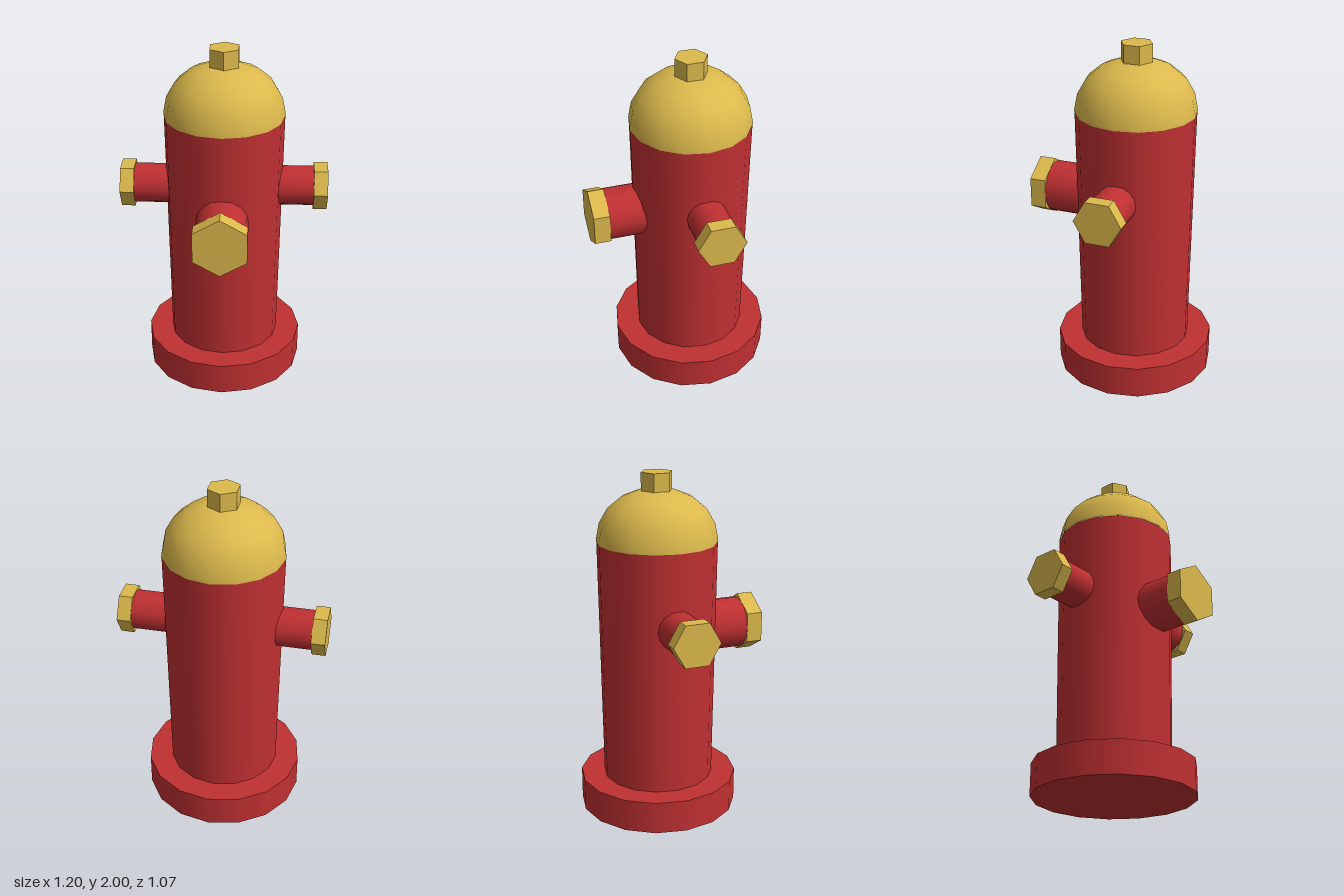
import * as THREE from 'three';

const AXIS_Z = -0.07; // the barrel stands slightly behind the centre

export function createModel() {
  const red = new THREE.MeshStandardMaterial({ color: 0xc03032 });
  red.name = 'hydrant red';
  const gold = new THREE.MeshStandardMaterial({ color: 0xdcb94c });
  gold.name = 'brass yellow';

  const model = new THREE.Group();
  model.name = 'fireHydrant';

  const add = (parent, name, geometry, material, x, y, z) => {
    const mesh = new THREE.Mesh(geometry, material);
    mesh.name = name;
    mesh.position.set(x, y, z);
    parent.add(mesh);
    return mesh;
  };

  // Six-sided nut with hard edges
  const hexNut = (radius, height) => {
    const g = new THREE.CylinderGeometry(radius, radius, height, 6).toNonIndexed();
    g.computeVertexNormals();
    return g;
  };

  // Foot flange and slightly flaring barrel
  add(model, 'baseFlange', new THREE.CylinderGeometry(0.465, 0.465, 0.19, 16), red, 0, 0.095, AXIS_Z);
  add(model, 'barrel', new THREE.CylinderGeometry(0.345, 0.325, 1.425, 16), red, 0, 0.8925, AXIS_Z);

  // Domed bonnet
  const domeProfile = [
    [0.347, 1.605], [0.345, 1.625], [0.328, 1.71], [0.28, 1.793],
    [0.203, 1.857], [0.107, 1.895], [0, 1.903],
  ].map(([r, y]) => new THREE.Vector2(r, y));
  add(model, 'bonnet', new THREE.LatheGeometry(domeProfile, 16), gold, 0, 0, AXIS_Z);

  // Operating nut on top
  add(model, 'topNut', hexNut(0.093, 0.13), gold, 0, 1.935, AXIS_Z - 0.002);

  // Outlet along local +y: pipe starting inside the barrel, closed by a hex cap
  const outlet = (name, radius, start, end, capRadius, capDepth) => {
    const group = new THREE.Group();
    group.name = name;
    const length = end - start;
    add(group, name + 'Pipe', new THREE.CylinderGeometry(radius, radius, length, 16), red, 0, start + length / 2, 0);
    add(group, name + 'Cap', hexNut(capRadius, capDepth), gold, 0, end + capDepth / 2, 0);
    model.add(group);
    return group;
  };

  // Matching side outlets
  for (const side of [1, -1]) {
    const o = outlet(side > 0 ? 'leftOutlet' : 'rightOutlet', 0.115, 0.2, 0.52, 0.138, 0.08);
    o.position.set(0, 1.167, AXIS_Z - 0.002);
    o.rotation.z = -side * Math.PI / 2;
  }

  // Larger front outlet
  const front = outlet('frontOutlet', 0.15, 0.1, 0.44, 0.173, 0.093);
  front.position.set(0, 1.072, 0);
  front.rotation.x = Math.PI / 2;

  return model;
}
